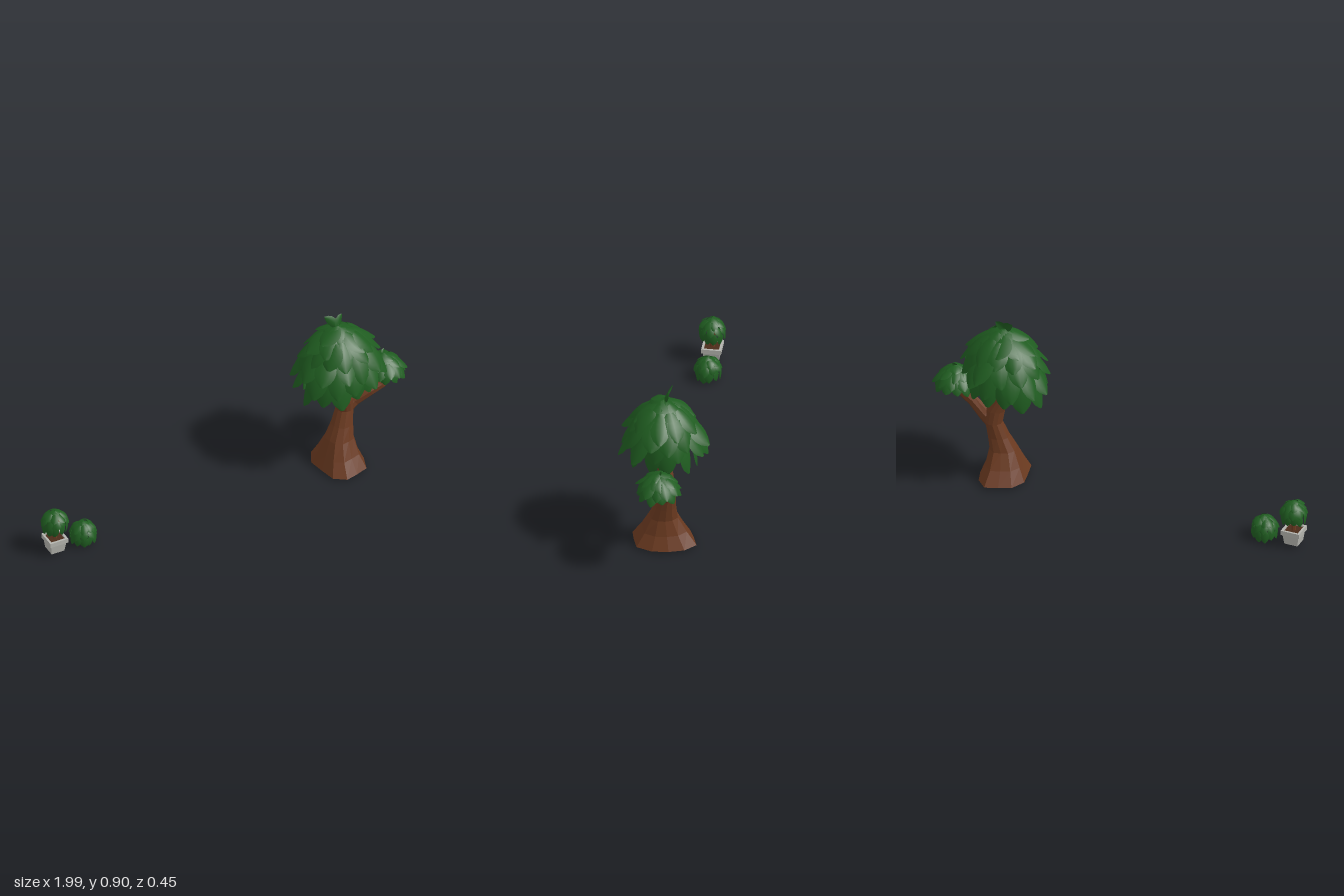
import * as THREE from 'three';
import { mergeGeometries } from 'three/addons/utils/BufferGeometryUtils.js';

const leafMat = new THREE.MeshStandardMaterial({ color: 0x1f5c20, side: THREE.DoubleSide });
const barkMat = new THREE.MeshStandardMaterial({ color: 0x6b3a20, flatShading: true, side: THREE.DoubleSide });
const soilMat = new THREE.MeshStandardMaterial({ color: 0x4a2c1a, flatShading: true });
const potMat = new THREE.MeshStandardMaterial({ color: 0xb4b4ae, flatShading: true });

let seed = 7;
const jitter = (amount) => {
  seed = (seed * 16807) % 2147483647;
  return (seed / 2147483647 - 0.5) * 2 * amount;
};

function gridGeometry(points, indices) {
  const g = new THREE.BufferGeometry();
  g.setAttribute('position', new THREE.Float32BufferAttribute(points, 3));
  g.setIndex(indices);
  g.computeVertexNormals();
  return g;
}

// One cupped leaf, growing outwards from a base, bending from pitch a0 to a1 (degrees below level)
// and rolled about its own spine
const WIDTHS = [0.4, 0.76, 0.95, 1, 0.92, 0.68, 0.16];
function leafGeometry(theta, r, y, length, width, a0, a1, roll) {
  const points = [], indices = [], rows = WIDTHS.length, cols = 5;
  const yaw = theta + jitter(0.15);
  const e = new THREE.Vector3(Math.cos(yaw), 0, Math.sin(yaw));
  const spine = new THREE.Vector3(Math.cos(theta) * r, y, Math.sin(theta) * r);
  const step = length / (rows - 1);
  for (let i = 0; i < rows; i++) {
    const a = THREE.MathUtils.degToRad(a0 + ((a1 - a0) * i) / (rows - 1));
    const dir = e.clone().multiplyScalar(Math.cos(a)).setY(-Math.sin(a));
    const normal = e.clone().multiplyScalar(Math.sin(a)).setY(Math.cos(a)).applyAxisAngle(dir, roll);
    const side = dir.clone().cross(normal);
    for (let j = 0; j < cols; j++) {
      const u = (j / (cols - 1)) * 2 - 1;
      const p = spine.clone()
        .addScaledVector(side, (u * width * WIDTHS[i]) / 2)
        .addScaledVector(normal, -0.14 * width * u * u * WIDTHS[i]);
      points.push(p.x, p.y, p.z);
      if (i < rows - 1 && j < cols - 1) {
        const k = i * cols + j;
        indices.push(k, k + 1, k + cols, k + 1, k + cols + 1, k + cols);
      }
    }
    spine.addScaledVector(dir, step);
  }
  return gridGeometry(points, indices);
}

// Overlapping rings of leaves: [radius, height, count, length, width, startPitch, endPitch]
function foliage(name, rings, x, y, z, spread, tilt = 0, sprigs = []) {
  const leaves = [];
  rings.forEach(([r, h, n, length, width, a0, a1], ring) => {
    for (let i = 0; i < n; i++) {
      const theta = ((i + (ring % 2) * 0.5) / n) * Math.PI * 2 + jitter(0.8 / n);
      const lift = tilt * Math.cos(theta) * (ring / rings.length);
      const sway = jitter(spread);
      leaves.push(leafGeometry(theta, r, h + lift + jitter(length * 0.06),
        length * (1 + jitter(0.1)), width * (1 + jitter(0.1)),
        a0 + sway * 0.5, a1 + sway * 1.4, jitter(0.22)));
    }
  });
  sprigs.forEach((sprig) => leaves.push(leafGeometry(...sprig)));
  const mesh = new THREE.Mesh(mergeGeometries(leaves), leafMat);
  mesh.name = name;
  mesh.position.set(x, y, z);
  return mesh;
}

// Faceted limb, open below, through sections [x, y, z, rx, rz, tilt, flute]
function limb(name, sections, sides) {
  const points = [], indices = [];
  sections.forEach(([x, y, z, rx, rz, tilt = 0, flute = 0], i) => {
    for (let j = 0; j < sides; j++) {
      const a = ((j + 0.5) / sides) * Math.PI * 2;
      const k = 1 + flute * Math.sin(j * 2.2);
      const across = Math.cos(a) * rx * k;
      points.push(x + across * Math.cos(tilt), y + across * Math.sin(tilt), z + Math.sin(a) * rz * k);
      if (i < sections.length - 1) {
        const p = i * sides + j, q = i * sides + ((j + 1) % sides);
        indices.push(p, p + sides, q, q, p + sides, q + sides);
      }
    }
  });
  // Top cap
  const last = (sections.length - 1) * sides;
  for (let j = 1; j < sides - 1; j++) indices.push(last, last + j + 1, last + j);
  const mesh = new THREE.Mesh(gridGeometry(points, indices), barkMat);
  mesh.name = name;
  return mesh;
}

// Square tapered block
function squareBlock(name, top, bottom, height, y, mat) {
  const g = new THREE.CylinderGeometry(top / Math.SQRT2, bottom / Math.SQRT2, height, 4);
  g.rotateY(Math.PI / 4);
  const mesh = new THREE.Mesh(g, mat);
  mesh.name = name;
  mesh.position.y = y;
  return mesh;
}

const CROWN = [
  [0.0, 0.0, 7, 0.12, 0.1, 18, 44],
  [0.04, -0.016, 9, 0.145, 0.105, 26, 50],
  [0.082, -0.042, 11, 0.155, 0.105, 34, 58],
  [0.12, -0.08, 12, 0.165, 0.105, 44, 66],
  [0.145, -0.132, 12, 0.17, 0.105, 54, 76],
  [0.14, -0.195, 11, 0.175, 0.105, 70, 92],
];
const SMALL_CROWN = [
  [0.0, 0.0, 6, 0.06, 0.054, 14, 38],
  [0.03, -0.01, 9, 0.077, 0.058, 24, 48],
  [0.057, -0.028, 11, 0.082, 0.058, 36, 60],
  [0.08, -0.056, 11, 0.07, 0.056, 54, 80],
];
const BUSH = [
  [0.0, 0.122, 6, 0.042, 0.042, 14, 48],
  [0.025, 0.115, 8, 0.05, 0.043, 28, 60],
  [0.046, 0.096, 10, 0.052, 0.042, 48, 80],
  [0.06, 0.068, 11, 0.062, 0.042, 74, 108],
];

export function createModel() {
  const model = new THREE.Group();

  // Large tree
  const tree = new THREE.Group();
  tree.name = 'tree';
  tree.add(
    limb('trunk', [
      [0.625, 0.01, 0, 0.124, 0.162, 0, 0.08],
      [0.625, 0.08, 0, 0.094, 0.114, 0, 0.08],
      [0.632, 0.16, 0, 0.069, 0.072, 0, 0.06],
      [0.652, 0.23, -0.01, 0.055, 0.055, 0, 0.03],
      [0.672, 0.31, -0.022, 0.044, 0.045],
      [0.664, 0.375, -0.014, 0.046, 0.044],
      [0.638, 0.43, -0.008, 0.039, 0.038, 0.3],
      [0.632, 0.54, 0, 0.034, 0.034],
      [0.64, 0.65, 0.004, 0.029, 0.029],
    ], 12),
    limb('branch', [
      [0.665, 0.29, -0.022, 0.038, 0.032, -0.8],
      [0.72, 0.336, -0.02, 0.035, 0.029, -0.9],
      [0.795, 0.385, 0.004, 0.029, 0.027, -0.95],
      [0.855, 0.415, 0.015, 0.027, 0.024, -0.8],
      [0.88, 0.45, 0.012, 0.022, 0.022, -0.2],
      [0.884, 0.53, 0, 0.018, 0.018, 0],
    ], 8),
    foliage('crown', CROWN, 0.622, 0.84, 0, 8, 0.045, [
      [-2.65, 0, -0.01, 0.092, 0.046, -62, -18, -1.2],
      [-0.5, 0, -0.01, 0.075, 0.044, -68, -25, 1.2],
    ]),
    foliage('smallCrown', SMALL_CROWN, 0.878, 0.574, -0.012, 8, 0, [
      [-0.9, 0, -0.005, 0.03, 0.022, -60, -25, 1],
    ]),
  );

  // Potted topiary, its stem flaring under the leaves
  const topiary = new THREE.Group();
  topiary.name = 'pottedTopiary';
  topiary.position.set(-0.932, 0, -0.015);
  topiary.add(
    squareBlock('pot', 0.086, 0.07, 0.06, 0.04, potMat),
    limb('stem', [
      [0, 0.08, 0, 0.012, 0.012],
      [0, 0.14, 0, 0.011, 0.011],
      [0, 0.165, 0, 0.024, 0.024],
      [0, 0.185, 0, 0.034, 0.034],
    ], 6),
    foliage('topiaryLeaves', BUSH, 0, 0.122, 0, 5),
  );
  // Hollow square rim with soil inside
  const rimShape = new THREE.Shape([[-1, -1], [1, -1], [1, 1], [-1, 1]]
    .map(([a, b]) => new THREE.Vector2(a * 0.049, b * 0.049)));
  rimShape.holes.push(new THREE.Path([[-1, -1], [-1, 1], [1, 1], [1, -1]]
    .map(([a, b]) => new THREE.Vector2(a * 0.038, b * 0.038))));
  const rim = new THREE.Mesh(
    new THREE.ExtrudeGeometry(rimShape, { depth: 0.024, bevelEnabled: false }).rotateX(-Math.PI / 2), potMat);
  rim.name = 'potRim';
  rim.position.y = 0.064;
  topiary.add(rim, squareBlock('soil', 0.078, 0.078, 0.012, 0.074, soilMat));

  // Low bush on the ground
  model.add(tree, topiary, foliage('bush', BUSH, -0.776, 0.001, -0.015, 5));
  return model;
}
